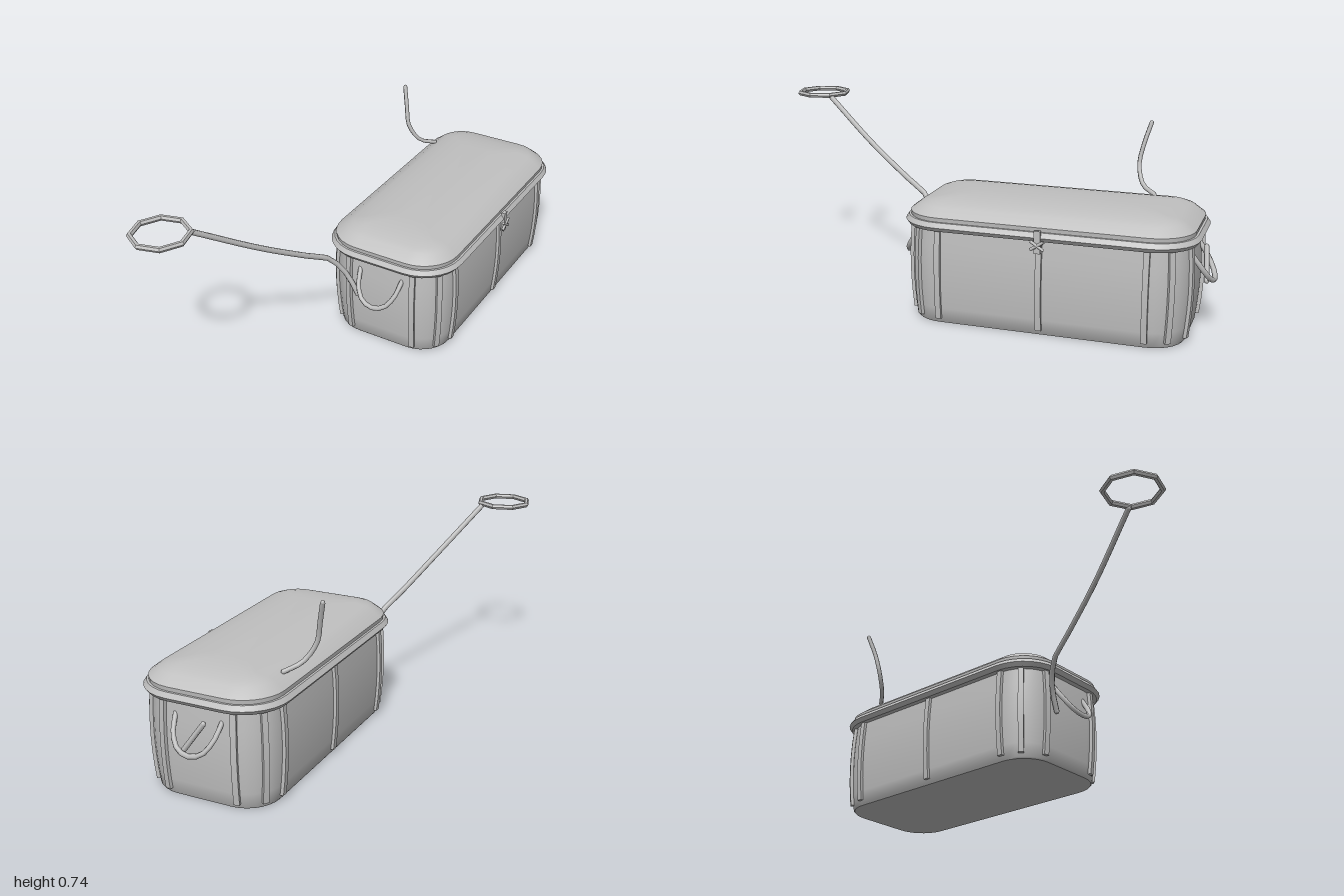
import * as THREE from 'three';
import { toCreasedNormals } from 'three/addons/utils/BufferGeometryUtils.js';

const HALF_W = 0.281, HALF_L = 0.5645, RADIUS = 0.17;
const CORE_X = HALF_W - RADIUS, CORE_Z = HALF_L - RADIUS;

// Rounded rectangle outline, grown or shrunk by d
function outline(d, y) {
  const r = Math.max(RADIUS + d, 0.04), hx = HALF_W + d - r, hz = HALF_L + d - r;
  const pts = [], steps = 7;
  for (let q = 0; q < 4; q++) {
    const sx = q === 0 || q === 3 ? 1 : -1, sz = q < 2 ? 1 : -1;
    for (let i = 0; i <= steps; i++) {
      const t = (q + i / steps) * Math.PI / 2;
      pts.push([sx * hx + r * Math.cos(t), y, sz * hz + r * Math.sin(t)]);
    }
  }
  return pts;
}

// Skin over stacked outlines, closed at both ends; profile = [offset, height]
function loft(profile, crease) {
  const pos = [], idx = [];
  const rings = profile.map(([d, y]) => outline(d, y));
  const n = rings[0].length;
  rings.forEach(r => r.forEach(p => pos.push(...p)));
  const low = rings.length * n, high = low + 1, last = low - n;
  pos.push(0, profile[0][1], 0, 0, profile[profile.length - 1][1], 0);
  for (let i = 0; i < n; i++) {
    const j = (i + 1) % n;
    for (let k = 0; k < rings.length - 1; k++) {
      const a = k * n, b = a + n;
      idx.push(a + j, a + i, b + i, a + j, b + i, b + j);
    }
    idx.push(low, i, j, high, last + j, last + i);
  }
  const g = new THREE.BufferGeometry();
  g.setAttribute('position', new THREE.Float32BufferAttribute(pos, 3));
  g.setIndex(idx);
  return toCreasedNormals(g, crease);
}

// Bulge of the walls at height y
const wall = y => -0.026 - 0.016 * ((y - 0.22) / 0.22) ** 2;

export function createModel() {
  const metal = new THREE.MeshStandardMaterial({ color: 0xc0c0c0 });
  metal.name = 'grey metal';
  const model = new THREE.Group();
  model.name = 'lidded chest';
  const chest = new THREE.Group();
  chest.name = 'chest';
  chest.position.set(0.0585, 0, -0.38);
  chest.rotation.y = THREE.MathUtils.degToRad(7);
  model.add(chest);

  const add = (parent, name, geometry) => {
    const mesh = new THREE.Mesh(geometry, metal);
    mesh.name = name;
    parent.add(mesh);
    return mesh;
  };
  // Bent rod with rounded ends
  const rod = (parent, name, points, radius, segments = 12) => {
    const group = new THREE.Group();
    group.name = name;
    parent.add(group);
    const path = points.map(p => new THREE.Vector3(...p));
    add(group, name + 'Rod', new THREE.TubeGeometry(
      new THREE.CatmullRomCurve3(path, false, 'centripetal'), segments, radius, 6));
    for (const p of [path[0], path[path.length - 1]]) {
      add(group, name + 'End', new THREE.SphereGeometry(radius, 6, 4)).position.copy(p);
    }
    return group;
  };

  // Bulging body, flared rim and domed lid
  const levels = [0, 0.006, 0.06, 0.12, 0.18, 0.24, 0.3, 0.375];
  add(chest, 'body', loft(levels.map(y => [wall(y) - (y ? 0 : 0.004), y]), 0.7));
  add(chest, 'rim', loft([[-0.035, 0.37], [-0.012, 0.37], [0, 0.386],
    [-0.012, 0.404], [-0.03, 0.404]], 0.5));
  add(chest, 'lid', loft([[-0.021, 0.4], [-0.019, 0.42], [-0.058, 0.45], [-0.085, 0.46],
    [-0.13, 0.469], [-0.18, 0.475], [-0.23, 0.478]], 0.7));

  // Upright ribs that follow the walls
  const rib = (x, z, angle) => {
    const g = new THREE.BoxGeometry(0.022, 0.35, 0.024, 1, 6, 1);
    const p = g.attributes.position;
    for (let i = 0; i < p.count; i++) {
      const y = p.getY(i) + 0.195;
      p.setXYZ(i, p.getX(i), y, p.getZ(i) + wall(y));
    }
    g.computeVertexNormals();
    const mesh = add(chest, 'rib', g);
    mesh.position.set(x, 0, z);
    mesh.rotation.y = Math.PI / 2 - angle;
  };
  for (const sx of [1, -1]) {
    rib(sx * HALF_W, 0, sx > 0 ? 0 : Math.PI);
    for (const sz of [1, -1]) {
      for (const degrees of [0, 36, 78]) {
        const t = THREE.MathUtils.degToRad(degrees);
        const nx = sx * Math.cos(t), nz = sz * Math.sin(t);
        rib(sx * CORE_X + RADIUS * nx, sz * CORE_Z + RADIUS * nz, Math.atan2(nz, nx));
      }
    }
  }

  // Drooping handles on both ends
  for (const s of [1, -1]) {
    rod(chest, s > 0 ? 'frontHandle' : 'backHandle', [
      [-0.093, 0.322, 0.53], [-0.08, 0.265, 0.57], [-0.048, 0.222, 0.596], [0, 0.208, 0.604],
      [0.048, 0.222, 0.596], [0.08, 0.265, 0.57], [0.093, 0.322, 0.53],
    ].map(([x, y, z]) => [x, y, s * z]), 0.01);
  }

  // Latch on the left side
  const latch = new THREE.Group();
  latch.name = 'latch';
  latch.position.set(HALF_W, 0.37, 0);
  chest.add(latch);
  add(latch, 'latchPlate', new THREE.BoxGeometry(0.014, 0.085, 0.024)).position.x = -0.004;
  for (const s of [1, -1]) {
    const bar = add(latch, 'latchBar', new THREE.CylinderGeometry(0.006, 0.006, 0.06, 6));
    bar.position.set(0.004, -0.012, 0);
    bar.rotation.x = s * 1.0;
  }

  // Pull bar with its ring
  rod(model, 'pullBar', [[0.03, 0.208, 0.178], [-0.01, 0.295, 0.195], [-0.05, 0.38, 0.25],
    [-0.075, 0.43, 0.34], [-0.13, 0.555, 0.55], [-0.21, 0.724, 0.805]], 0.011, 16);
  const ring = add(model, 'pullRing', toCreasedNormals(
    new THREE.TorusGeometry(0.106, 0.011, 6, 8), 0.6));
  ring.position.set(-0.275, 0.732, 0.885);
  ring.rotation.x = Math.PI / 2;

  // Hook above the lid and short bar at the back
  rod(model, 'hook', [[-0.325, 0.712, -0.62], [-0.3, 0.63, -0.6], [-0.28, 0.55, -0.59],
    [-0.24, 0.48, -0.62], [-0.2, 0.455, -0.68]], 0.009);
  rod(model, 'backBar', [[0.025, 0.21, -0.96], [-0.05, 0.32, -0.935]], 0.01, 1);
  return model;
}
